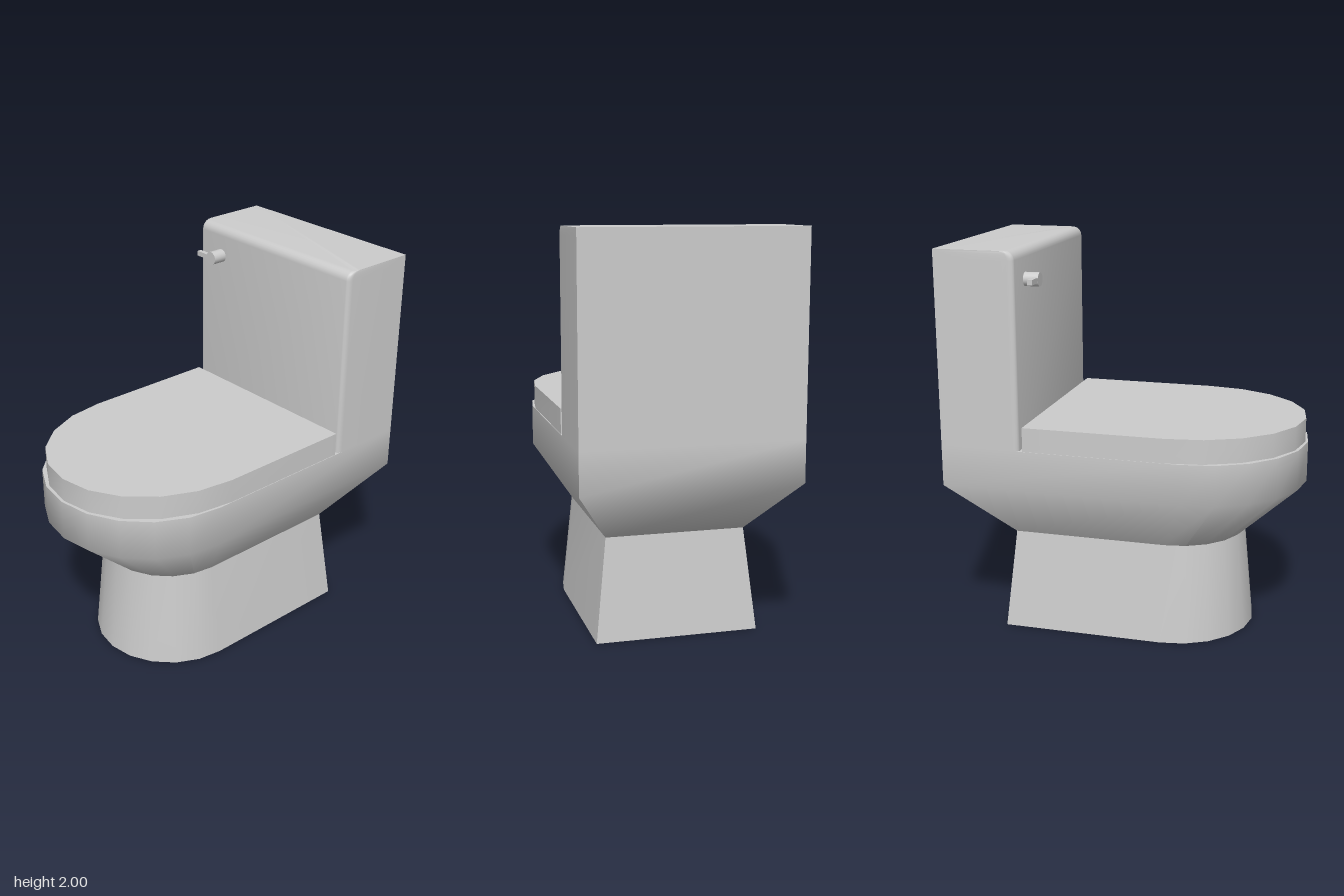
import * as THREE from 'three';
import { toCreasedNormals } from 'three/addons/utils/BufferGeometryUtils.js';

const material = new THREE.MeshStandardMaterial({ color: 0xcccccc });

function part(name, geometry, parent) {
  const mesh = new THREE.Mesh(geometry, material);
  mesh.name = name;
  parent.add(mesh);
  return mesh;
}

// Skins a stack of convex rings (bottom to top) and caps both ends.
function loft(rings, crease) {
  const n = rings[0].length;
  const index = [];
  for (let i = 0; i < rings.length - 1; i++) {
    for (let j = 0; j < n; j++) {
      const a = i * n + j, b = i * n + (j + 1) % n;
      index.push(a, b, b + n, a, b + n, a + n);
    }
  }
  const top = (rings.length - 1) * n;
  for (let j = 1; j < n - 1; j++) {
    index.push(0, j + 1, j);
    index.push(top, top + j, top + j + 1);
  }
  const geometry = new THREE.BufferGeometry();
  geometry.setAttribute('position', new THREE.Float32BufferAttribute(rings.flat(2), 3));
  geometry.setIndex(index);
  return toCreasedNormals(geometry, crease);
}

// D-shaped outline: square at the back, half ellipse at the front.
function dRing(y, halfWidth, back, front, depth) {
  const ring = [[-halfWidth, y, back]];
  for (let i = 0; i <= 10; i++) {
    const a = -Math.PI / 2 + i * Math.PI / 10;
    ring.push([halfWidth * Math.sin(a), y, front - depth + depth * Math.cos(a)]);
  }
  ring.push([halfWidth, y, back]);
  return ring;
}

// Tank outline with softened front corners.
function tankRing(y, front) {
  const w = 0.543, rx = 0.02, rz = 0.03, steps = 4;
  const ring = [[-w, y, -0.887]];
  for (const side of [-1, 1]) {
    for (let i = 0; i <= steps; i++) {
      const a = (side < 0 ? i : steps - i) / steps * Math.PI / 2;
      ring.push([side * (w - rx + rx * Math.cos(a)), y, front - rz + rz * Math.sin(a)]);
    }
  }
  ring.push([w, y, -0.887]);
  return ring;
}

export function createModel() {
  const model = new THREE.Group();
  model.name = 'toilet';

  part('pedestal', loft([
    dRing(0, 0.408, -0.62, 0.622, 0.41),
    dRing(0.515, 0.35, -0.57, 0.572, 0.35),
  ], 0.6), model);

  part('bowl', loft([
    dRing(0.515, 0.35, -0.57, 0.572, 0.35),
    dRing(0.803, 0.543, -0.887, 0.887, 0.545),
    dRing(1.012, 0.543, -0.887, 0.887, 0.545),
  ], 0.9), model);

  part('lid', loft([
    dRing(1.012, 0.54, -0.457, 0.873, 0.61),
    dRing(1.135, 0.54, -0.457, 0.873, 0.61),
  ], 0.6), model);

  // Tank with a rounded top front edge
  const rings = [tankRing(1.012, -0.476)];
  const r = 0.045;
  for (let i = 0; i <= 6; i++) {
    const a = i / 6 * Math.PI / 2;
    rings.push(tankRing(2 - r + r * Math.sin(a), -0.476 - r * (1 - Math.cos(a))));
  }
  part('tank', loft(rings, 0.6), model);

  // Flush handle: round stem and flat lever
  const handle = new THREE.Group();
  handle.name = 'flushHandle';
  handle.position.set(-0.378, 1.846, -0.4);
  model.add(handle);
  const stem = part('handleStem', new THREE.CylinderGeometry(0.035, 0.035, 0.08, 20), handle);
  stem.rotation.x = Math.PI / 2;
  stem.position.z = -0.04;
  const lever = part('handleLever', new THREE.BoxGeometry(0.1, 0.026, 0.025), handle);
  lever.position.set(-0.06, 0, -0.0145);

  return model;
}
